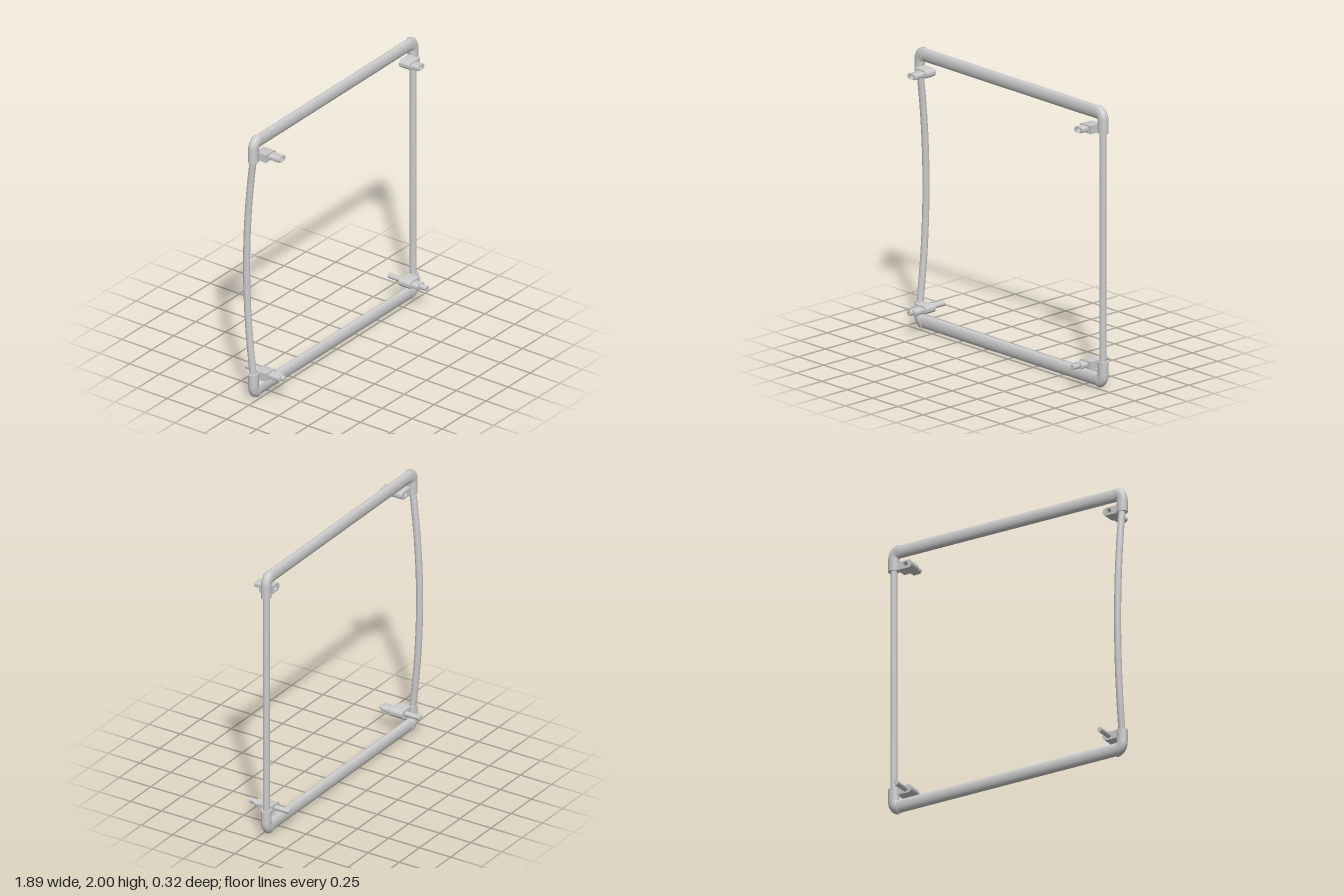
import * as THREE from 'three';
import { mergeVertices, toCreasedNormals } from 'three/addons/utils/BufferGeometryUtils.js';

const material = new THREE.MeshStandardMaterial({ color: 0xcccccc });
const MID_Z = -0.031;   // depth of the frame's centre plane
const INNER_X = 0.865, INNER_Y = 0.9; // inner corner of the elbows, from the frame centre

function add(parent, name, geometry, x = 0, y = 0, z = 0) {
  const mesh = new THREE.Mesh(geometry, material);
  mesh.name = name;
  mesh.position.set(x, y, z);
  parent.add(mesh);
  return mesh;
}

// Elbow: elliptical rings turning about the inner corner, then a straight leg
function elbowGeometry() {
  const sides = 32, turns = 12, width = 0.08, height = 0.1, depth = 0.034;
  const rings = [];
  for (let i = 0; i <= turns; i++) {
    const t = (i / turns) * Math.PI / 2;
    rings.push([Math.sin(t) * width, Math.cos(t) * height, 0]);
  }
  rings.push([width, 0, -0.09]);
  const points = [], index = [];
  for (const [dx, dy, drop] of rings) {
    for (let j = 0; j < sides; j++) {
      const a = (j / sides) * Math.PI * 2, r = 0.5 + 0.5 * Math.cos(a);
      points.push(INNER_X + dx * r, INNER_Y + dy * r + drop, depth * Math.sin(a));
    }
  }
  const last = rings.length - 1;
  for (let i = 0; i < last; i++) {
    for (let j = 0; j < sides; j++) {
      const k = (j + 1) % sides;
      const a = i * sides + j, b = i * sides + k;
      index.push(a, b, b + sides, a, b + sides, a + sides);
    }
  }
  // end caps
  for (let j = 1; j < sides - 1; j++) {
    index.push(0, j + 1, j);
    index.push(last * sides, last * sides + j, last * sides + j + 1);
  }
  const geometry = new THREE.BufferGeometry();
  geometry.setAttribute('position', new THREE.Float32BufferAttribute(points, 3));
  geometry.setIndex(index);
  return toCreasedNormals(mergeVertices(geometry), 0.7);
}

// Slotted prism along z: rounded toward -x, rounded or square at +x, with a round hole
function lugGeometry(halfWidth, halfHeight, z0, z1, square) {
  const s = new THREE.Shape(), c = halfWidth - halfHeight;
  s.moveTo(-c, -halfHeight);
  if (square) {
    s.lineTo(halfWidth + 0.015, -halfHeight);
    s.lineTo(halfWidth + 0.015, halfHeight);
  } else {
    s.lineTo(c, -halfHeight);
    s.absarc(c, 0, halfHeight, -Math.PI / 2, Math.PI / 2, false);
  }
  s.lineTo(-c, halfHeight);
  s.absarc(-c, 0, halfHeight, Math.PI / 2, Math.PI * 1.5, false);
  const hole = new THREE.Path();
  hole.absarc(0, 0, 0.0185, 0, Math.PI * 2, true);
  s.holes.push(hole);
  const g = new THREE.ExtrudeGeometry(s, { depth: z1 - z0, bevelEnabled: false, curveSegments: 16 });
  g.translate(0, 0, z0);
  return toCreasedNormals(g, 0.6);
}

export function createModel() {
  const model = new THREE.Group();
  model.name = 'tubularFrame';

  // Flattened top and bottom rails
  for (const [name, y] of [['topRail', 1.948], ['bottomRail', 0.055]]) {
    const g = new THREE.CylinderGeometry(1, 1, 1.75, 40);
    g.rotateZ(Math.PI / 2);
    g.scale(1, 0.048, 0.026);
    add(model, name, g, 0, y, MID_Z);
  }

  // Straight left post and backward-bowed right post
  add(model, 'leftPost', new THREE.CylinderGeometry(0.024, 0.024, 1.7, 32), 0.905, 1, MID_Z);
  const bow = new THREE.QuadraticBezierCurve3(
    new THREE.Vector3(-0.905, 0.17, MID_Z),
    new THREE.Vector3(-0.905, 1, MID_Z - 0.115),
    new THREE.Vector3(-0.905, 1.83, MID_Z)
  );
  add(model, 'bowedRightPost', new THREE.TubeGeometry(bow, 40, 0.024, 32));

  // Corner elbows: one shape turned half a circle about each axis
  const elbow = elbowGeometry();
  const corners = [
    ['topLeftElbow', 0, 0, 0], ['topRightElbow', 0, Math.PI, 0],
    ['bottomLeftElbow', Math.PI, 0, 0], ['bottomRightElbow', 0, 0, Math.PI]
  ];
  for (const [name, rx, ry, rz] of corners) {
    add(model, name, elbow, 0, 1, MID_Z).rotation.set(rx, ry, rz);
  }

  // Brackets inside each corner; the lower pair carries pins
  for (const side of [1, -1]) {
    for (const [level, y] of [['top', 1.84], ['bottom', 0.168]]) {
      const bracket = new THREE.Group();
      bracket.name = level + (side > 0 ? 'Left' : 'Right') + 'Bracket';
      bracket.position.set(side * 0.807, y, 0);
      if (side < 0) bracket.rotation.z = Math.PI;
      add(bracket, 'lug', lugGeometry(0.05, 0.029, -0.042, 0.05, true));
      add(bracket, 'sleeve', lugGeometry(0.039, 0.02, 0.05, side > 0 ? 0.107 : 0.138, false));
      if (level === 'bottom') {
        const pin = new THREE.CylinderGeometry(0.0185, 0.0185, 0.322, 32);
        pin.rotateX(Math.PI / 2);
        add(bracket, 'pin', pin);
      }
      model.add(bracket);
    }
  }
  return model;
}
